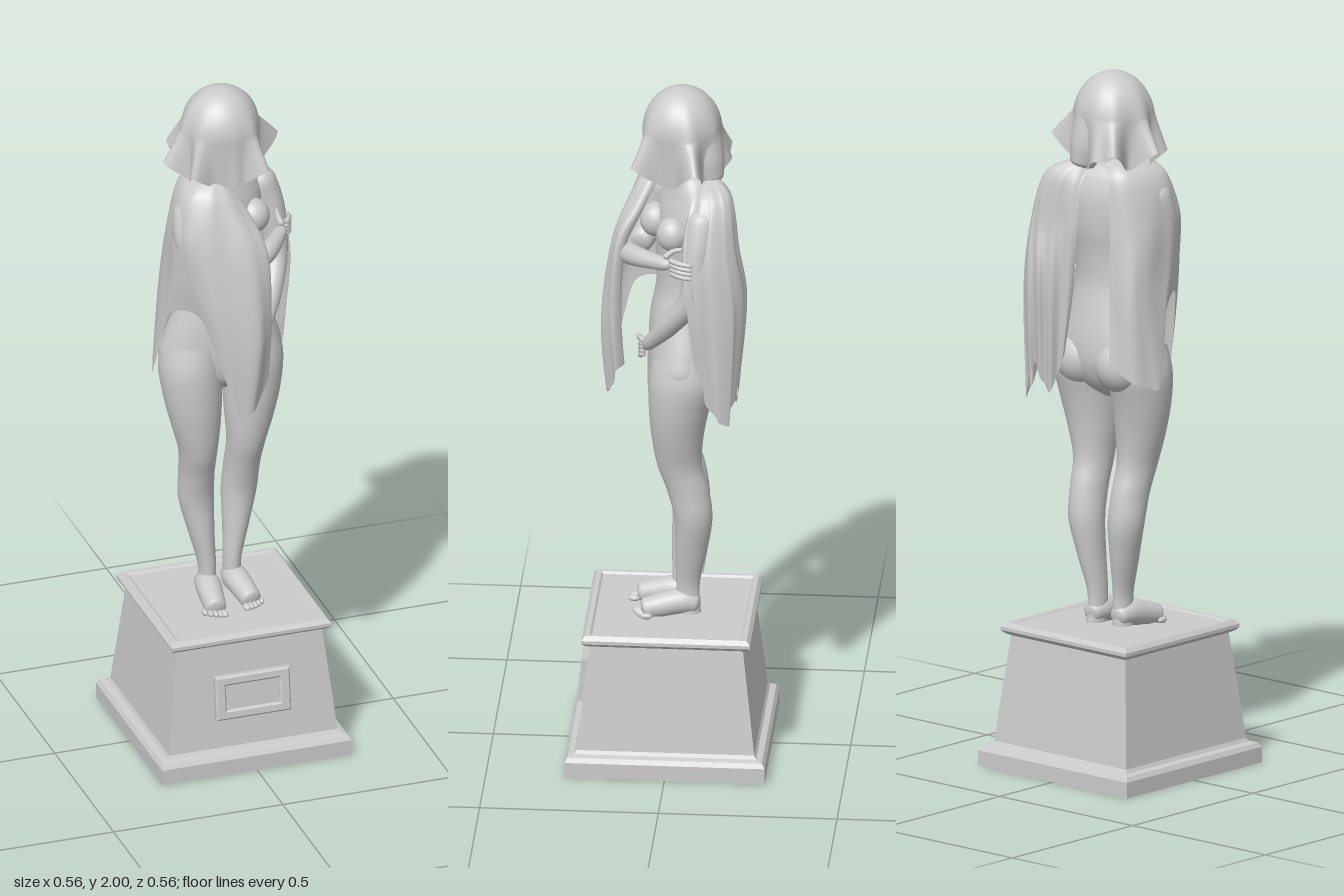
import * as THREE from 'three';
import { mergeVertices } from 'three/addons/utils/BufferGeometryUtils.js';

const stone = new THREE.MeshStandardMaterial({ color: 0xcccccc });
const cloth = new THREE.MeshStandardMaterial({ color: 0xcccccc, side: THREE.DoubleSide });

function add(parent, name, geometry, material = stone) {
  const mesh = new THREE.Mesh(geometry, material);
  mesh.name = name;
  parent.add(mesh);
  return mesh;
}

// Smooth normals, welded across seams
function weld(geometry) {
  geometry.deleteAttribute('uv');
  geometry.deleteAttribute('normal');
  const g = mergeVertices(geometry, 1e-5);
  g.computeVertexNormals();
  return g;
}

// Smooth interpolation through rows of numbers, t in 0..1
function sample(rows, t) {
  const n = rows.length - 1, f = Math.min(t * n, n - 1e-6), i = Math.floor(f), s = f - i;
  const at = (k) => rows[Math.max(0, Math.min(n, k))];
  const [a, b, c, d] = [at(i - 1), at(i), at(i + 1), at(i + 2)];
  return b.map((p, k) => p + 0.5 * s * (c[k] - a[k]
    + s * (2 * a[k] - 5 * p + 4 * c[k] - d[k] + s * (3 * (p - c[k]) + d[k] - a[k]))));
}

// Surface from a rule (u, v) -> [x, y, z]
function surface(rule, nu, nv) {
  const g = new THREE.PlaneGeometry(1, 1, nu, nv);
  const uv = g.attributes.uv, pos = g.attributes.position;
  for (let i = 0; i < pos.count; i++) pos.setXYZ(i, ...rule(uv.getX(i), uv.getY(i)));
  return weld(g);
}

// Upright body from ellipses: [x, y, z, radiusX, radiusZ, twist]
function loft(rows) {
  return surface((u, v) => {
    const [x, y, z, rx, rz, twist = 0] = sample(rows, v);
    const a = (u % 1) * Math.PI * 2, px = rx * Math.sin(a), pz = rz * Math.cos(a);
    const c = Math.cos(twist), s = Math.sin(twist);
    return [x + px * c + pz * s, y, z - px * s + pz * c];
  }, 40, 64);
}

// Rounded limb through points: [x, y, z, radius]
function limb(rows, nu = 32, nr = 18) {
  const curve = new THREE.CatmullRomCurve3(rows.map((p) => new THREE.Vector3(p[0], p[1], p[2])));
  const g = new THREE.TubeGeometry(curve, nu, 1, nr);
  const pos = g.attributes.position, nor = g.attributes.normal;
  for (let i = 0; i < pos.count; i++) {
    const t = Math.floor(i / (nr + 1)) / nu;
    const k = Math.min(1, t / 0.09, (1 - t) / 0.09);
    const r = sample(rows, curve.getUtoTmapping(t))[3] * Math.sqrt(Math.max(0, 1 - (1 - k) ** 2));
    const p = curve.getPointAt(t);
    pos.setXYZ(i, p.x + r * nor.getX(i), p.y + r * nor.getY(i), p.z + r * nor.getZ(i));
  }
  return weld(g);
}

function ellipsoid(parent, name, [x, y, z], [rx, ry, rz]) {
  const mesh = add(parent, name, new THREE.SphereGeometry(1, 28, 20));
  mesh.position.set(x, y, z);
  mesh.scale.set(rx, ry, rz);
  return mesh;
}

// Hanging cloth through columns of points, with ripples growing towards the hem
function drape(columns, ripple) {
  const flat = columns.map((c) => c.flat());
  return surface((u, v) => {
    const row = sample(flat, u), points = [];
    for (let i = 0; i < row.length; i += 3) points.push(row.slice(i, i + 3));
    const p = sample(points, 1 - v), w = ripple * (1 - v) * Math.sin(u * 44 + v * 3);
    return [p[0] + w * 0.6, p[1] + w * 0.8, p[2] + w];
  }, 72, 48);
}

function makePedestal() {
  const group = new THREE.Group();
  group.name = 'pedestal';
  const profile = [[0, 0], [0.28, 0], [0.28, 0.045], [0.272, 0.058], [0.255, 0.062], [0.249, 0.072],
    [0.215, 0.375], [0.228, 0.382], [0.236, 0.39], [0.236, 0.4], [0.226, 0.412], [0.214, 0.412],
    [0.208, 0.406], [0, 0.406]].map(([r, y]) => new THREE.Vector2(r * Math.SQRT2, y));
  const block = new THREE.LatheGeometry(profile, 4, Math.PI / 4).toNonIndexed();
  block.computeVertexNormals();
  add(group, 'plinth', block);

  // Framed plaque leaning with the front face
  const rect = (w, h, T) => new T([[-w, -h], [w, -h], [w, h], [-w, h]].map((p) => new THREE.Vector2(...p)));
  const plaque = new THREE.Group();
  plaque.name = 'plaque';
  const frame = rect(0.105, 0.06, THREE.Shape);
  frame.holes.push(rect(0.084, 0.042, THREE.Path));
  add(plaque, 'plaqueFrame', new THREE.ExtrudeGeometry(frame,
    { depth: 0.016, bevelSize: 0.005, bevelThickness: 0.005, bevelSegments: 1 }));
  add(plaque, 'plaquePanel', new THREE.BoxGeometry(0.17, 0.09, 0.02));
  for (const x of [-1, 1]) for (const y of [-1, 1]) {
    const stud = add(plaque, 'plaqueCorner', new THREE.BoxGeometry(0.012, 0.012, 0.016));
    stud.position.set(x * 0.075, y * 0.034, 0.008);
  }
  plaque.position.set(0, 0.222, 0.231);
  plaque.rotation.x = -0.108;
  group.add(plaque);
  return group;
}

function makeLeg(side) {
  const leg = new THREE.Group();
  leg.name = side > 0 ? 'leftLeg' : 'rightLeg';
  const shape = [[0.042, 0.415, -0.045, 0.026, 0.034], [0.04, 0.5, -0.043, 0.025, 0.033],
    [0.053, 0.6, -0.052, 0.036, 0.044], [0.066, 0.71, -0.06, 0.05, 0.053], [0.07, 0.8, -0.045, 0.05, 0.059],
    [0.074, 0.88, -0.022, 0.054, 0.063], [0.082, 0.97, -0.017, 0.07, 0.073], [0.09, 1.06, -0.022, 0.083, 0.085],
    [0.093, 1.15, -0.033, 0.089, 0.096], [0.085, 1.23, -0.035, 0.08, 0.085]];
  add(leg, 'legBody', loft(shape.map(([x, ...rest]) => [side * x, ...rest])));
  const foot = limb([[side * 0.042, 0.438, -0.078, 0.026], [side * 0.043, 0.447, -0.03, 0.036],
    [side * 0.05, 0.436, 0.03, 0.034], [side * 0.056, 0.422, 0.088, 0.03]]);
  const pos = foot.attributes.position;
  for (let i = 0; i < pos.count; i++) pos.setY(i, Math.max(0.406, pos.getY(i)));
  foot.computeVertexNormals();
  add(leg, 'foot', foot);
  for (let i = 0; i < 5; i++) {
    const r = i ? 0.0075 : 0.011;
    ellipsoid(leg, 'toe', [side * (0.036 + i * 0.0125), 0.414, 0.096 - i * i * 0.0016], [r, 0.009, 0.017]);
  }
  leg.position.z = side > 0 ? -0.005 : 0.012;
  return leg;
}

function makeFigure() {
  const figure = new THREE.Group();
  figure.name = 'figure';
  for (const side of [-1, 1]) figure.add(makeLeg(side));

  // Torso turns to its left from the hips up
  add(figure, 'torso', loft([[0, 1.07, -0.025, 0.03, 0.03, 0], [0, 1.11, -0.028, 0.12, 0.08, 0],
    [0, 1.17, -0.035, 0.176, 0.1, 0], [0, 1.24, -0.035, 0.164, 0.1, 0.03], [0, 1.32, -0.03, 0.135, 0.09, 0.1],
    [0, 1.4, -0.03, 0.112, 0.074, 0.2], [0.005, 1.48, -0.033, 0.108, 0.074, 0.3],
    [0.01, 1.56, -0.04, 0.12, 0.08, 0.4], [0.012, 1.64, -0.048, 0.135, 0.074, 0.48],
    [0.015, 1.7, -0.055, 0.112, 0.058, 0.5], [0.018, 1.75, -0.052, 0.048, 0.046, 0.5],
    [0.015, 1.83, -0.035, 0.042, 0.045, 0.4]]));
  for (const s of [-1, 1]) {
    ellipsoid(figure, 'buttock', [s * 0.075, 1.175, -0.075], [0.078, 0.08, 0.075]);
    ellipsoid(figure, 'breast', [0.04 + s * 0.05, 1.59, 0.018 - s * 0.027], [0.046, 0.05, 0.046]);
  }

  // Bowed head with hair under the veil
  ellipsoid(figure, 'head', [0.008, 1.86, -0.012], [0.066, 0.095, 0.08]);
  ellipsoid(figure, 'nose', [0.01, 1.845, 0.066], [0.01, 0.018, 0.014]);
  add(figure, 'hair', limb([[0.02, 1.9, -0.08, 0.05], [0.03, 1.8, -0.1, 0.05], [0.04, 1.73, -0.115, 0.035]]));

  // Left arm reaches down, right arm crosses to hold it
  add(figure, 'leftArm', limb([[0.125, 1.69, -0.1, 0.046], [0.165, 1.57, -0.085, 0.041], [0.175, 1.43, -0.065, 0.034],
    [0.135, 1.33, 0.0, 0.031], [0.09, 1.255, 0.055, 0.02], [0.06, 1.23, 0.07, 0.02]], 48));
  add(figure, 'rightArm', limb([[-0.105, 1.69, 0.01, 0.046], [-0.12, 1.57, 0.05, 0.04], [-0.07, 1.49, 0.095, 0.034],
    [0.02, 1.505, 0.125, 0.032], [0.09, 1.52, 0.095, 0.029], [0.155, 1.53, 0.02, 0.021],
    [0.18, 1.535, -0.015, 0.023]], 48));
  for (let i = 0; i < 4; i++) {
    add(figure, 'leftFinger', limb([[0.066, 1.243 - i * 0.011, 0.074, 0.0085],
      [0.035, 1.228 - i * 0.012, 0.085, 0.0075], [0.002, 1.212 - i * 0.01, 0.078, 0.006]], 12, 8));
    add(figure, 'rightFinger', limb([[0.185, 1.553 - i * 0.012, -0.005, 0.0085],
      [0.206, 1.55 - i * 0.013, -0.04, 0.0075], [0.208, 1.545 - i * 0.013, -0.075, 0.006]], 12, 8));
  }
  add(figure, 'leftThumb', limb([[0.08, 1.255, 0.07, 0.009], [0.055, 1.258, 0.088, 0.008], [0.03, 1.25, 0.09, 0.006]], 12, 8));
  add(figure, 'rightThumb', limb([[0.17, 1.55, 0.01, 0.009], [0.165, 1.57, -0.015, 0.008], [0.17, 1.58, -0.045, 0.006]], 12, 8));
  return figure;
}

function makeDrapery() {
  const group = new THREE.Group();
  group.name = 'drapery';

  // Veil: a dome flaring into pointed folds [angle, extra reach]
  const folds = [[Math.PI, 0.075], [-2.31, 0.075], [-1.9, 0.045], [-1.1, 0.03],
    [-0.27, 0.095], [0.96, 0.07], [1.45, 0.015], [2.46, 0.055]];
  add(group, 'veil', surface((u, v) => {
    const a = Math.PI / 2 - (u % 1) * Math.PI * 2, w = 1 - v;
    let reach = 0;
    for (const [angle, size] of folds) {
      const d = Math.atan2(Math.sin(a - angle), Math.cos(a - angle));
      reach += size * Math.exp(-((d / 0.23) ** 2));
    }
    const dome = Math.min(1, w * 2), fall = Math.max(0, w * 2 - 1);
    const r = 0.108 * Math.sin(dome * Math.PI / 2) - 0.012 * fall
      + reach * (0.15 * dome ** 3 + 0.85 * fall);
    const y = 1.88 + 0.12 * Math.cos(dome * Math.PI / 2) - fall * (0.15 - 0.8 * reach);
    return [r * Math.cos(a), y, r * Math.sin(a) - 0.028];
  }, 120, 40), cloth);

  // Right shawl, from the bare back round the arm to the long front panel
  add(group, 'rightShawl', drape([
    [[-0.02, 1.74, -0.09], [-0.06, 1.7, -0.115], [-0.08, 1.55, -0.13], [-0.085, 1.35, -0.14], [-0.1, 1.18, -0.155]],
    [[-0.03, 1.755, -0.07], [-0.1, 1.715, -0.085], [-0.14, 1.57, -0.085], [-0.155, 1.38, -0.11], [-0.17, 1.14, -0.11]],
    [[-0.04, 1.76, -0.03], [-0.125, 1.715, -0.01], [-0.157, 1.6, -0.01], [-0.165, 1.4, -0.04], [-0.192, 1.13, -0.045]],
    [[-0.05, 1.76, 0.01], [-0.125, 1.71, 0.05], [-0.157, 1.59, 0.05], [-0.16, 1.46, 0.04], [-0.165, 1.33, 0.01]],
    [[-0.05, 1.76, 0.03], [-0.09, 1.715, 0.08], [-0.13, 1.6, 0.105], [-0.12, 1.46, 0.115], [-0.1, 1.34, 0.12]],
    [[-0.035, 1.765, 0.035], [-0.045, 1.7, 0.1], [-0.05, 1.55, 0.145], [-0.05, 1.32, 0.17], [-0.03, 1.1, 0.17]],
    [[-0.025, 1.765, 0.035], [0.01, 1.68, 0.1], [0.035, 1.55, 0.163], [0.04, 1.3, 0.193], [0.02, 1.07, 0.178]],
    [[-0.02, 1.76, 0.03], [0.045, 1.65, 0.09], [0.079, 1.54, 0.145], [0.083, 1.34, 0.158], [0.076, 1.15, 0.15]],
    [[-0.02, 1.75, 0.02], [0.035, 1.64, 0.075], [0.062, 1.53, 0.122], [0.062, 1.34, 0.135], [0.055, 1.18, 0.13]],
  ], 0.004), cloth);

  // Left shawl, over the shoulder and down the back
  add(group, 'leftShawl', drape([
    [[0.07, 1.74, -0.08], [0.135, 1.7, -0.065], [0.185, 1.58, -0.05], [0.213, 1.42, -0.06], [0.205, 1.25, -0.08]],
    [[0.07, 1.75, -0.1], [0.15, 1.71, -0.11], [0.2, 1.58, -0.1], [0.218, 1.38, -0.1], [0.208, 1.11, -0.12]],
    [[0.06, 1.755, -0.12], [0.14, 1.71, -0.155], [0.185, 1.57, -0.165], [0.195, 1.38, -0.185], [0.198, 1.06, -0.17]],
    [[0.05, 1.755, -0.125], [0.11, 1.71, -0.175], [0.14, 1.57, -0.195], [0.13, 1.41, -0.215], [0.15, 1.16, -0.19]],
    [[0.03, 1.75, -0.125], [0.06, 1.7, -0.17], [0.08, 1.57, -0.185], [0.08, 1.4, -0.2], [0.1, 1.09, -0.185]],
    [[0.015, 1.74, -0.11], [0.015, 1.68, -0.15], [0.015, 1.56, -0.165], [0.03, 1.4, -0.16], [0.06, 1.2, -0.165]],
  ], 0.006), cloth);
  return group;
}

export function createModel() {
  const model = new THREE.Group();
  model.name = 'veiledStatue';
  model.add(makePedestal(), makeFigure(), makeDrapery());
  return model;
}
